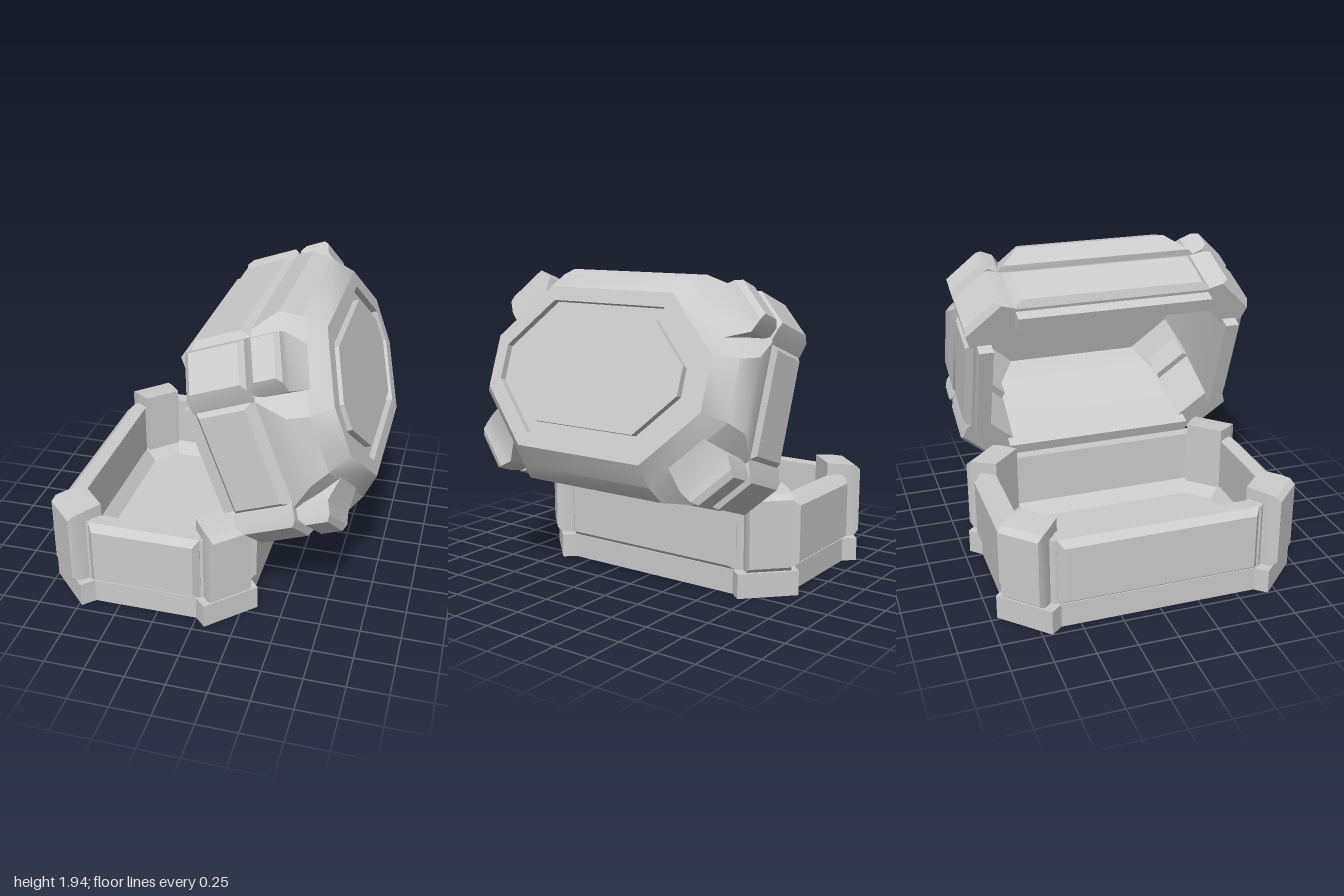
import * as THREE from 'three';
import { toCreasedNormals } from 'three/addons/utils/BufferGeometryUtils.js';

const material = new THREE.MeshStandardMaterial({ color: 0xcccccc });

function add(parent, name, geometry) {
  const mesh = new THREE.Mesh(geometry, material);
  mesh.name = name;
  parent.add(mesh);
  return mesh;
}

// Skin a stack of equal-length point rings and cap both ends.
function loft(rings, crease = 0.3) {
  const n = rings[0].length;
  const index = [];
  for (let r = 0; r < rings.length - 1; r++) {
    for (let i = 0; i < n; i++) {
      const a = r * n + i, b = r * n + (i + 1) % n;
      index.push(a, b, b + n, a, b + n, a + n);
    }
  }
  const last = (rings.length - 1) * n;
  for (let i = 1; i < n - 1; i++) {
    index.push(0, i + 1, i, last, last + i, last + i + 1);
  }
  const geo = new THREE.BufferGeometry();
  geo.setAttribute('position', new THREE.Float32BufferAttribute(rings.flat(2), 3));
  geo.setIndex(index);
  return toCreasedNormals(geo, crease);
}

// Horizontal octagon: half sizes hx and hz, corners cut at diagonal distance d.
function octagon([hx, hz, d, y]) {
  const cz = d * Math.SQRT2 - hx, cx = d * Math.SQRT2 - hz;
  return [[hx, y, cz], [hx, y, -cz], [cx, y, -hz], [-cx, y, -hz],
    [-hx, y, -cz], [-hx, y, cz], [-cx, y, hz], [cx, y, hz]];
}

// Upright rectangle facing +z: distance z, half width w, from y0 to y1.
function rect([z, w, y0, y1]) {
  return [[-w, y0, z], [w, y0, z], [w, y1, z], [-w, y1, z]];
}

// Bevelled panels on the four sides; bevel sizes for bottom, top and ends.
function addWalls(parent, name, y0, y1, bottom, top, end) {
  [[0.92, 0.355], [0.64, 0.635]].forEach(([d, w], k) => {
    const geo = loft([[d - 0.138, w, y0, y1], [d - 0.045, w, y0, y1],
      [d, w - end, y0 + bottom, y1 - top]].map(rect));
    for (const turn of [0, Math.PI]) {
      add(parent, name, geo).rotation.y = turn + k * Math.PI / 2;
    }
  });
}

// Diagonal blocks on the four corners.
function addCorners(parent, name, sections, crease) {
  const geo = loft(sections.map(rect), crease);
  for (let i = 0; i < 4; i++) {
    const block = add(parent, name, geo);
    block.rotation.y = Math.PI / 4 + i * Math.PI / 2;
    block.translateX(i % 2 ? 0.21 : -0.21);
  }
}

function createBase() {
  const base = new THREE.Group();
  base.name = 'base';

  // Plinth with a projecting foot at every corner
  const quarter = [[0.61, 0.62], [0.67, 0.69], [0.40, 0.96], [0.33, 0.89]];
  const back = [...quarter].reverse();
  const outline = [
    ...quarter,
    ...back.map(([x, z]) => [-x, z]),
    ...quarter.map(([x, z]) => [-x, -z]),
    ...back.map(([x, z]) => [x, -z]),
  ];
  const shape = new THREE.Shape(outline.map(([x, z]) => new THREE.Vector2(x, z)));
  const plinth = new THREE.ExtrudeGeometry(shape, { depth: 0.155, bevelEnabled: false });
  add(base, 'plinth', plinth.rotateX(-Math.PI / 2));

  // Hollow tub, from the outside up, over the rim and down to the floor
  add(base, 'tub', loft([
    [0.592, 0.872, 0.88, 0.10], [0.592, 0.872, 0.88, 0.577], [0.50, 0.78, 0.775, 0.577],
    [0.50, 0.78, 0.775, 0.24], [0.43, 0.715, 0.71, 0.16],
  ].map(octagon)));

  addWalls(base, 'baseWall', 0.15, 0.58, 0.035, 0.04, 0.035);
  addCorners(base, 'baseCornerPost', [
    [0.765, 0.125, 0.15, 0.66], [0.89, 0.14, 0.15, 0.65],
    [0.955, 0.14, 0.16, 0.64], [0.99, 0.13, 0.19, 0.61],
  ]);
  return base;
}

function createLid() {
  const lid = new THREE.Group();
  lid.name = 'lid';

  // Hollow dome, from the inner ceiling to the rim, then up the outside
  add(lid, 'dome', loft([
    [0.40, 0.68, 0.60, 1.17], [0.485, 0.765, 0.74, 1.02], [0.485, 0.765, 0.76, 0.505],
    [0.592, 0.872, 0.88, 0.505], [0.592, 0.872, 0.88, 0.88], [0.64, 0.92, 0.89, 0.885],
    [0.665, 0.945, 0.82, 1.03], [0.60, 0.89, 0.755, 1.14], [0.49, 0.78, 0.663, 1.255],
    // framed top with a groove around the raised centre
    [0.405, 0.70, 0.57, 1.255], [0.405, 0.70, 0.57, 1.215],
    [0.33, 0.61, 0.49, 1.215], [0.33, 0.61, 0.49, 1.255],
  ].map(octagon), 0.65));

  addWalls(lid, 'lidWall', 0.505, 0.882, 0.03, 0.07, 0.05);
  addCorners(lid, 'lidCornerPost', [
    [0.79, 0.17, 0.505, 0.87], [0.87, 0.19, 0.505, 0.87],
    [0.95, 0.15, 0.505, 0.865], [0.985, 0.125, 0.54, 0.84],
  ]);
  addCorners(lid, 'lidShoulder', [
    [0.70, 0.12, 0.885, 1.18], [0.87, 0.175, 0.885, 1.08],
    [0.95, 0.15, 0.885, 1.075], [0.985, 0.13, 0.92, 1.05],
  ], 0.5);

  // Thin lips that drop inside the tub
  for (const s of [-1, 1]) {
    const sideLip = add(lid, 'lip', new THREE.BoxGeometry(0.68, 0.12, 0.09));
    sideLip.position.set(0, 0.49, s * 0.81);
    const endLip = add(lid, 'lip', new THREE.BoxGeometry(0.09, 0.12, 1.25));
    endLip.position.set(s * 0.53, 0.49, 0);
  }
  return lid;
}

export function createModel() {
  const chest = new THREE.Group();
  chest.name = 'openChest';
  const base = createBase();
  base.position.x = -0.33;
  const lid = createLid();
  // Lid swung open over the +x side
  lid.position.set(-0.349, 0.959, 0);
  lid.rotation.z = -THREE.MathUtils.degToRad(70);
  chest.add(base, lid);
  return chest;
}
